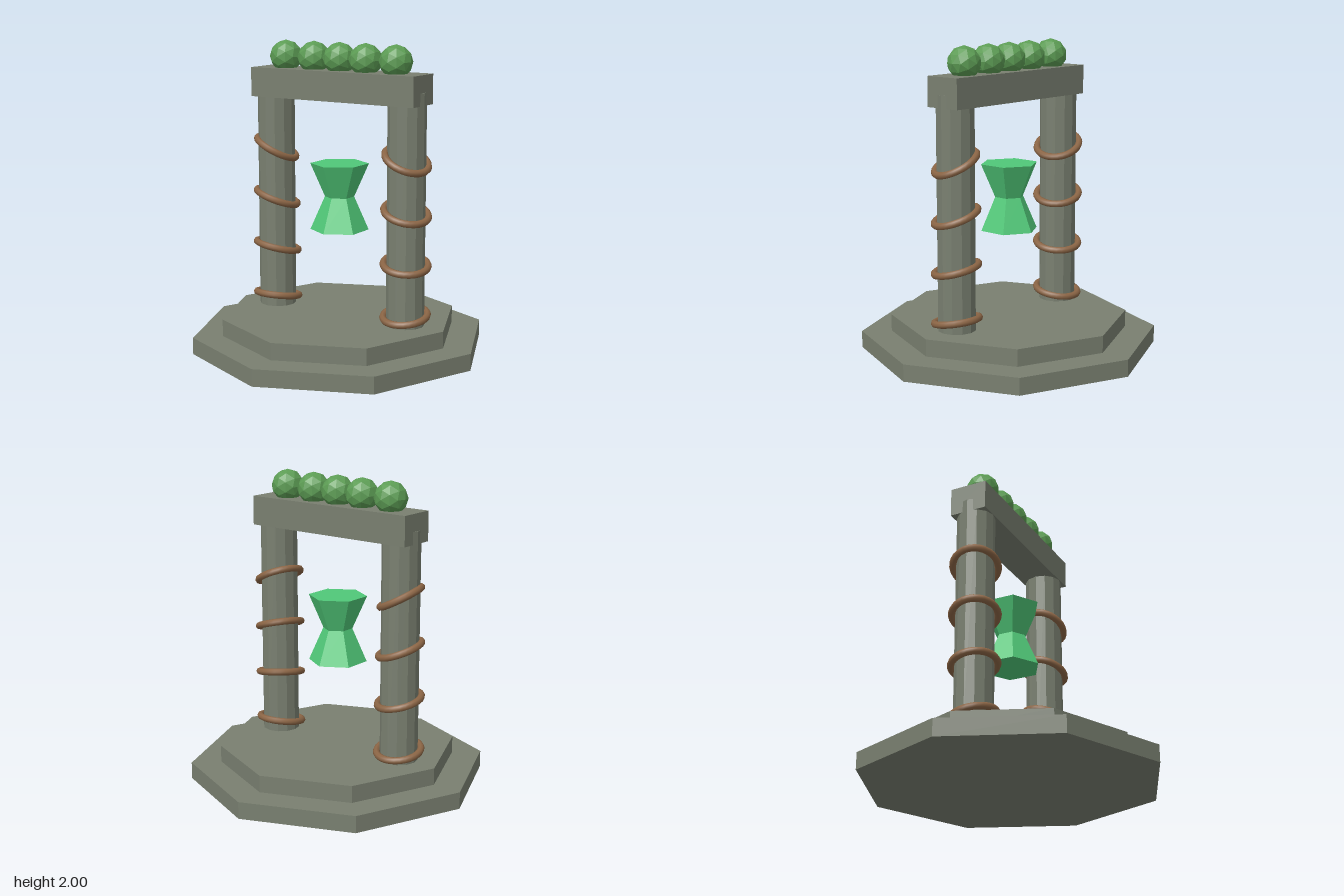
import * as THREE from 'three';

export function createModel() {
  const model = new THREE.Group();
  model.name = 'stoneGate';

  const material = (name, color, flat = true) => {
    const m = new THREE.MeshStandardMaterial({ color });
    m.name = name;
    m.flatShading = flat;
    return m;
  };
  const stone = material('stone', 0x797f70);
  const vine = material('vine', 0x8b6545, false);
  const leaf = material('leaf', 0x5c9c54);
  const crystal = material('crystal', 0x50c878);

  const add = (name, geometry, mat, x, y, z = 0) => {
    const mesh = new THREE.Mesh(geometry, mat);
    mesh.name = name;
    mesh.position.set(x, y, z);
    model.add(mesh);
    return mesh;
  };

  // Two octagonal steps
  add('lowerStep', new THREE.CylinderGeometry(0.97, 0.97, 0.11, 8), stone, 0, 0.055);
  add('upperStep', new THREE.CylinderGeometry(0.775, 0.775, 0.11, 8), stone, 0, 0.165);

  // Pillars, each wrapped by four vine rings that tilt more towards the top
  const pillar = new THREE.CylinderGeometry(0.122, 0.122, 1.49, 12);
  const ring = new THREE.TorusGeometry(0.143, 0.023, 8, 28);
  for (const side of [-1, 1]) {
    add(side > 0 ? 'leftPillar' : 'rightPillar', pillar, stone, side * 0.498, 0.965);
    for (let k = 0; k < 4; k++) {
      const mesh = add('vineRing', ring, vine, side * 0.498, 0.28 + k * 0.335);
      mesh.rotation.set(Math.PI / 2 + side * 0.18, -k * 0.15, 0);
    }
  }

  // Lintel across the pillars
  add('lintel', new THREE.BoxGeometry(1.22, 0.19, 0.246), stone, 0, 1.725);

  // Row of moss balls sunk slightly into the lintel
  const ball = new THREE.IcosahedronGeometry(0.107, 1);
  for (const x of [-0.415, -0.195, 0, 0.195, 0.415]) add('mossBall', ball, leaf, x, 1.893);

  // Floating hourglass crystal
  add('crystalTop', new THREE.CylinderGeometry(0.19, 0.095, 0.218, 6), crystal, 0, 1.112);
  add('crystalBottom', new THREE.CylinderGeometry(0.095, 0.19, 0.218, 6), crystal, 0, 0.894);

  return model;
}
